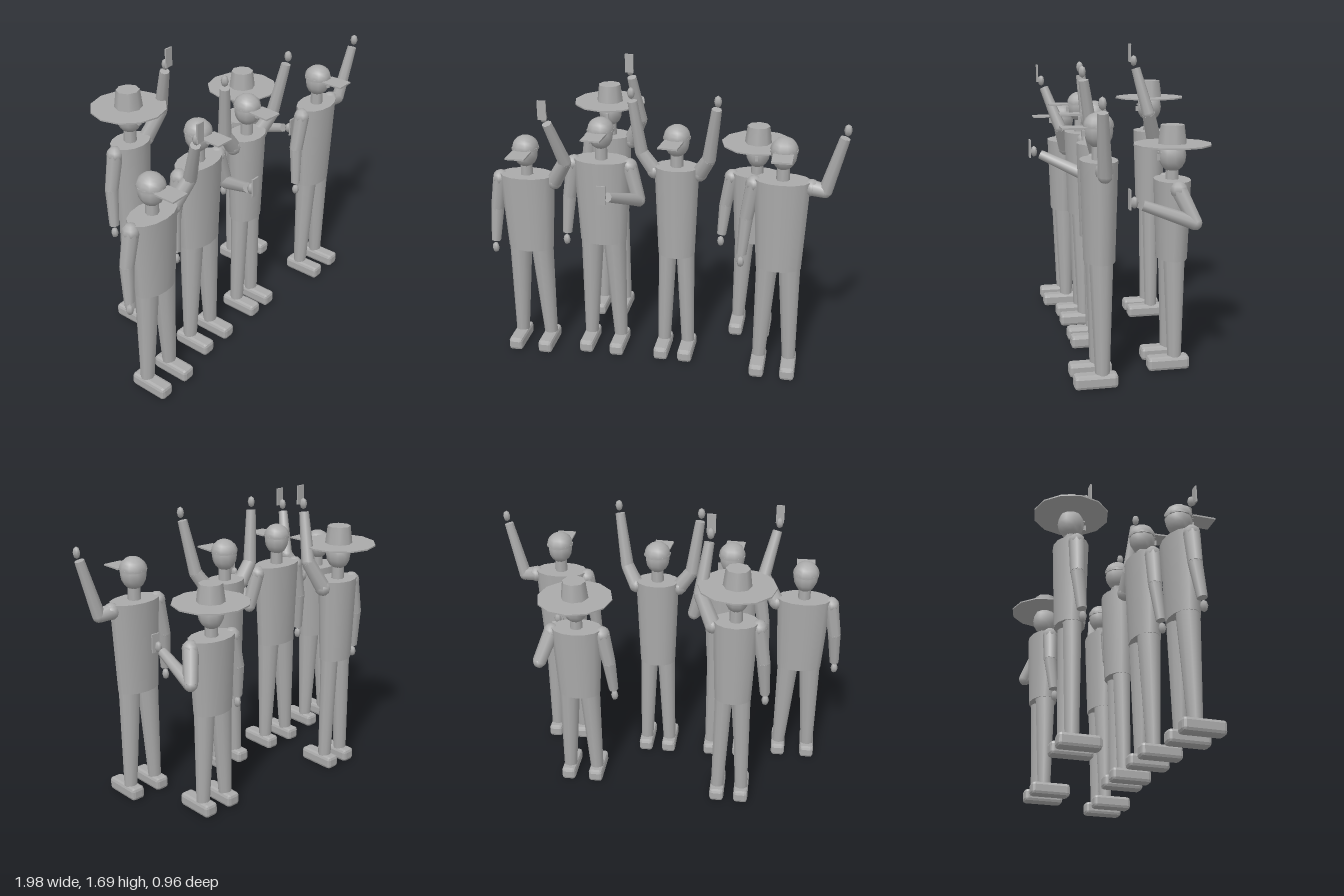
import * as THREE from 'three';
import { RoundedBoxGeometry } from 'three/addons/geometries/RoundedBoxGeometry.js';

const grey = new THREE.MeshStandardMaterial({ color: 0xaaaaaa });
grey.name = 'grey';

const UP = new THREE.Vector3(0, 1, 0);
const V = (p) => new THREE.Vector3(...p);

function group(parent, name) {
  const g = new THREE.Group();
  g.name = name;
  parent.add(g);
  return g;
}

function add(parent, name, geometry, pos, scale = [1, 1, 1]) {
  const mesh = new THREE.Mesh(geometry, grey);
  mesh.name = name;
  mesh.position.set(...pos);
  mesh.scale.set(...scale);
  parent.add(mesh);
  return mesh;
}

// Tapered cylinder running from point a to point b
function limb(parent, name, a, b, ra, rb, sides = 8) {
  const dir = V(b).sub(V(a));
  const mid = V(a).addScaledVector(dir, 0.5);
  const mesh = add(parent, name, new THREE.CylinderGeometry(rb, ra, dir.length(), sides), mid.toArray());
  mesh.quaternion.setFromUnitVectors(UP, dir.normalize());
}

// Shoulder, upper arm, forearm, a small separate hand and sometimes a phone
function addArm(parent, name, shoulder, elbow, wrist, holdsPhone) {
  const arm = group(parent, name);
  add(arm, 'shoulder', new THREE.SphereGeometry(0.046, 8, 6), shoulder);
  limb(arm, 'upperArm', shoulder, elbow, 0.044, 0.038);
  add(arm, 'elbow', new THREE.SphereGeometry(0.037, 8, 6), elbow);
  limb(arm, 'forearm', elbow, wrist, 0.037, 0.027);
  const dir = V(wrist).sub(V(elbow)).normalize();
  const palm = V(wrist).addScaledVector(dir, 0.045);
  add(arm, 'hand', new THREE.SphereGeometry(1, 6, 4), palm.toArray(), [0.021, 0.032, 0.021]);
  if (holdsPhone) {
    add(arm, 'phone', new THREE.BoxGeometry(0.047, 0.104, 0.009),
      [palm.x, palm.y + dir.y * 0.048, palm.z + 0.024]);
  }
}

// Head with face, plus a visor cap or a wide-brimmed hat
function addHead(parent, position, yaw, hat) {
  const head = group(parent, 'head');
  head.position.set(...position);
  head.rotation.y = yaw;
  add(head, 'skull', new THREE.SphereGeometry(1, 10, 8), [0, 0, 0], [0.069, 0.088, 0.073]);
  add(head, 'nose', new THREE.BoxGeometry(0.016, 0.03, 0.02), [0, -0.01, 0.073]);
  for (const s of [-1, 1]) {
    add(head, 'eye', new THREE.BoxGeometry(0.012, 0.008, 0.008), [s * 0.026, 0.014, 0.067]);
  }
  if (hat) {
    add(head, 'hatBrim', new THREE.CylinderGeometry(0.207, 0.207, 0.008, 12), [0, 0.058, 0]);
    add(head, 'hatCrown', new THREE.CylinderGeometry(0.064, 0.077, 0.102, 8), [0, 0.109, 0]);
  } else {
    const dome = new THREE.SphereGeometry(1, 10, 5, 0, Math.PI * 2, 0, Math.PI / 2);
    add(head, 'capDome', dome, [0, 0.022, 0], [0.074, 0.07, 0.078]);
    add(head, 'capBand', new THREE.CylinderGeometry(0.075, 0.075, 0.012, 10), [0, 0.02, 0]);
    add(head, 'visor', new THREE.BoxGeometry(0.106, 0.009, 0.125), [0, 0.018, 0.125]);
  }
}

// top is the shoulder line, hip the torso's lower edge, w half the shoulder width
function addPerson(root, { name, x, z, top, hip, w, yaw = 0, hat = false, phone = false, right, left }) {
  const person = group(root, name);
  const headY = top * 1.123;
  const hipW = w * 0.84;

  // Body and neck
  add(person, 'torso', new THREE.CylinderGeometry(1, 0.84, top - hip, 14),
    [x, (top + hip) / 2, z], [w, 1, 0.095]);
  limb(person, 'neck', [x, top - 0.01, z], [x, headY - 0.06, z], 0.036, 0.034);

  // Legs and chamfered shoes
  for (const s of [-1, 1]) {
    const foot = x + s * w * 0.57;
    limb(person, 'leg', [foot, 0.05, z], [x + s * hipW * 0.47, hip + 0.06, z], 0.037, hipW * 0.5, 10);
    const shoe = new RoundedBoxGeometry(0.082, 0.074, 0.225, 1, 0.018).toNonIndexed();
    shoe.computeVertexNormals();
    add(person, 'shoe', shoe, [foot, 0.037, z + 0.035]);
  }

  addHead(person, [x, headY, z], yaw, hat);

  // Posed arms use their given elbow and wrist; the others hang down
  for (const [armName, s, pose] of [['rightArm', -1, right], ['leftArm', 1, left]]) {
    const sx = x + s * w;
    const sy = top - 0.035;
    const hanging = [
      [sx + s * 0.035, sy - top * 0.175, z - 0.005],
      [sx + s * 0.052, sy - top * 0.36, z + 0.015],
    ];
    const [elbow, wrist] = pose || hanging;
    addArm(person, armName, [sx, sy, z], elbow, wrist, phone && pose);
  }
}

export function createModel() {
  const root = new THREE.Group();
  root.name = 'crowd';

  // Front row, wearing caps
  addPerson(root, {
    name: 'cappedPersonRaisingPhone', x: -0.75, z: 0.205, top: 1.07, hip: 0.625, w: 0.155, phone: true,
    left: [[-0.515, 1.17, 0.25], [-0.575, 1.415, 0.34]],
  });
  addPerson(root, {
    name: 'cappedPersonTakingPhoto', x: -0.335, z: 0.155, top: 1.17, hip: 0.68, w: 0.157, yaw: -0.06, phone: true,
    left: [[-0.125, 0.945, 0.17], [-0.24, 1.05, 0.405]],
  });
  addPerson(root, {
    name: 'cappedPersonBothArmsUp', x: 0.085, z: 0.15, top: 1.155, hip: 0.63, w: 0.123, yaw: -0.1,
    right: [[-0.11, 1.22, 0.15], [-0.15, 1.515, 0.18]],
    left: [[0.265, 1.22, 0.19], [0.308, 1.515, 0.24]],
  });
  addPerson(root, {
    name: 'cappedPersonWaving', x: 0.662, z: 0.225, top: 1.15, hip: 0.64, w: 0.15,
    left: [[0.885, 1.105, 0.235], [0.965, 1.41, 0.26]],
  });

  // Back row, wearing hats
  addPerson(root, {
    name: 'hattedPersonRaisingPhone', x: -0.39, z: -0.28, top: 1.16, hip: 0.68, w: 0.122, hat: true, phone: true,
    left: [[-0.195, 1.28, -0.23], [-0.23, 1.545, -0.16]],
  });
  addPerson(root, {
    name: 'hattedPersonReaching', x: 0.49, z: -0.195, top: 1.01, hip: 0.59, w: 0.142, hat: true, phone: true,
    left: [[0.695, 0.815, -0.265], [0.66, 0.91, 0]],
  });
  return root;
}
